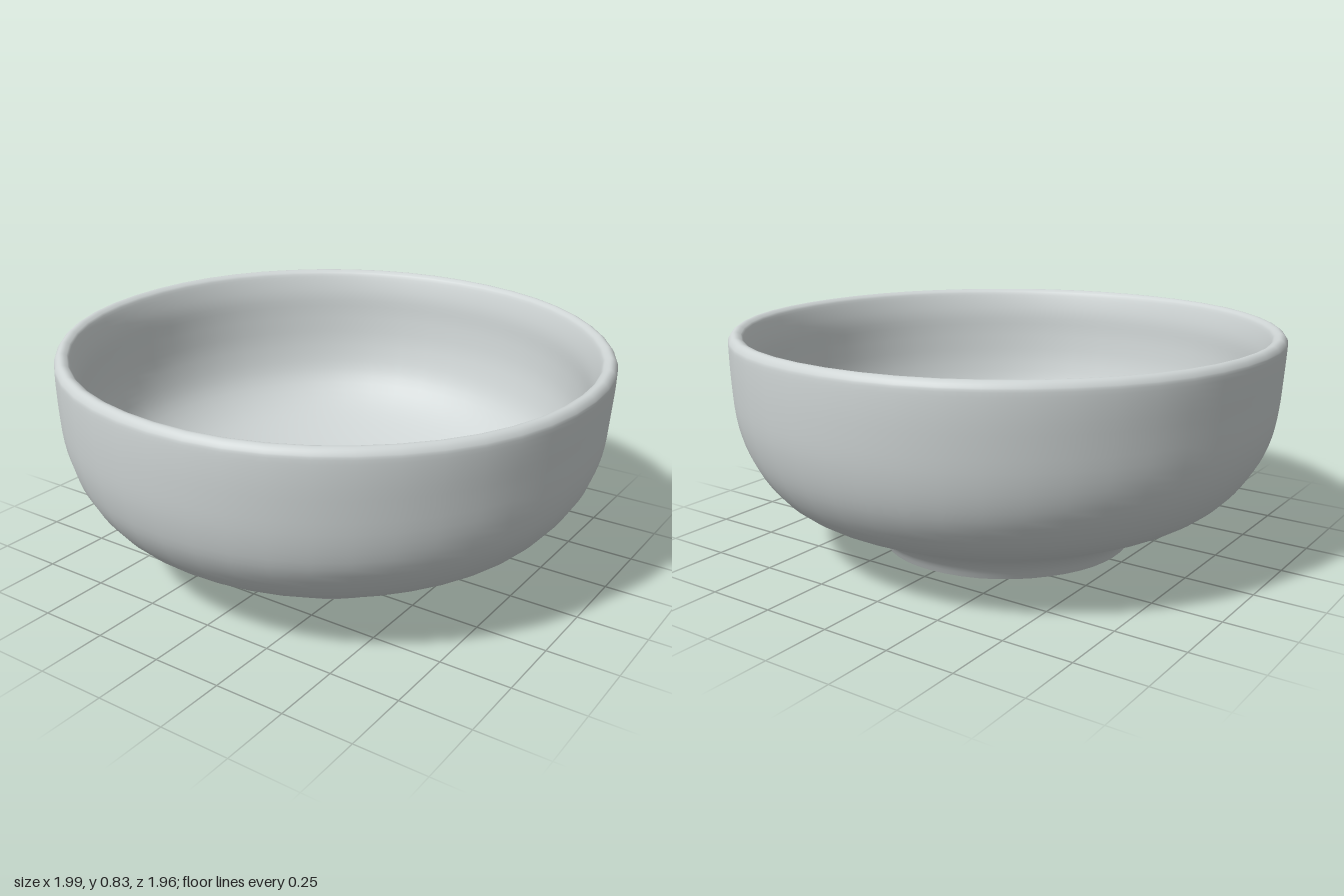
import * as THREE from 'three';
import { mergeVertices } from 'three/addons/utils/BufferGeometryUtils.js';

const SEGMENTS = 48;

// Hand-made irregularity: slightly oval rim, foot a little off centre, rim tilted, gentle dents
function shapeByHand(geometry) {
  const p = geometry.attributes.position;
  for (let i = 0; i < p.count; i++) {
    const x = p.getX(i), y = p.getY(i), z = p.getZ(i);
    const a = Math.atan2(z, x);
    const dent = 1 + 0.003 * Math.sin(5 * a + 7 * y) * Math.sin(3 * a - 9 * y + 1);
    const lean = 0.012 * Math.max(0, 1 - y / 0.4);
    const oval = 1.01 - 0.037 * y;
    p.setXYZ(i, x * dent - lean, y - 0.012 * x - 0.016 * z, z * dent * oval - lean);
  }
}

// Turned surface with smooth normals and no seam
function turned(name, points, material) {
  const lathe = new THREE.LatheGeometry(points, SEGMENTS);
  lathe.deleteAttribute('uv');
  lathe.deleteAttribute('normal');
  const geometry = mergeVertices(lathe, 1e-5);
  shapeByHand(geometry);
  geometry.computeVertexNormals();
  const mesh = new THREE.Mesh(geometry, material);
  mesh.name = name;
  return mesh;
}

// Smooth profile curve through a few [radius, height] points
function smoothProfile(pairs, divisions) {
  const curve = new THREE.SplineCurve(pairs.map(([r, y]) => new THREE.Vector2(r, y)));
  const points = curve.getPoints(divisions);
  points.forEach((q) => { q.x = Math.max(q.x, 0); });
  return points;
}

export function createModel() {
  const bowl = new THREE.Group();
  bowl.name = 'bowl';
  const glaze = new THREE.MeshStandardMaterial({ color: 0xced4d4 });
  glaze.name = 'pale grey glaze';

  // Outer wall, from the flared foot up to the rim
  const outer = [
    [0.46, 0.01], [0.49, 0.055], [0.545, 0.1], [0.64, 0.145], [0.755, 0.195],
    [0.85, 0.265], [0.93, 0.375], [0.972, 0.5], [0.99, 0.65], [0.997, 0.765],
  ];
  // Narrow rounded lip
  const lip = [[0.992, 0.795], [0.975, 0.81], [0.955, 0.806], [0.94, 0.787]];
  // Thin inner wall rounding down into a deep floor
  const inner = [
    [0.917, 0.71], [0.906, 0.61], [0.885, 0.49], [0.835, 0.365], [0.73, 0.265],
    [0.58, 0.195], [0.4, 0.148], [0.2, 0.13], [0, 0.127],
  ];
  bowl.add(turned('bowlWall', smoothProfile([...outer, ...lip, ...inner], 88), glaze));

  // Shallow hollow beneath the foot
  const underside = [[0, 0.058], [0.2, 0.058], [0.33, 0.053], [0.395, 0.036], [0.435, 0.012], [0.46, 0.01]];
  bowl.add(turned('footUnderside', smoothProfile(underside, 20), glaze));

  return bowl;
}
